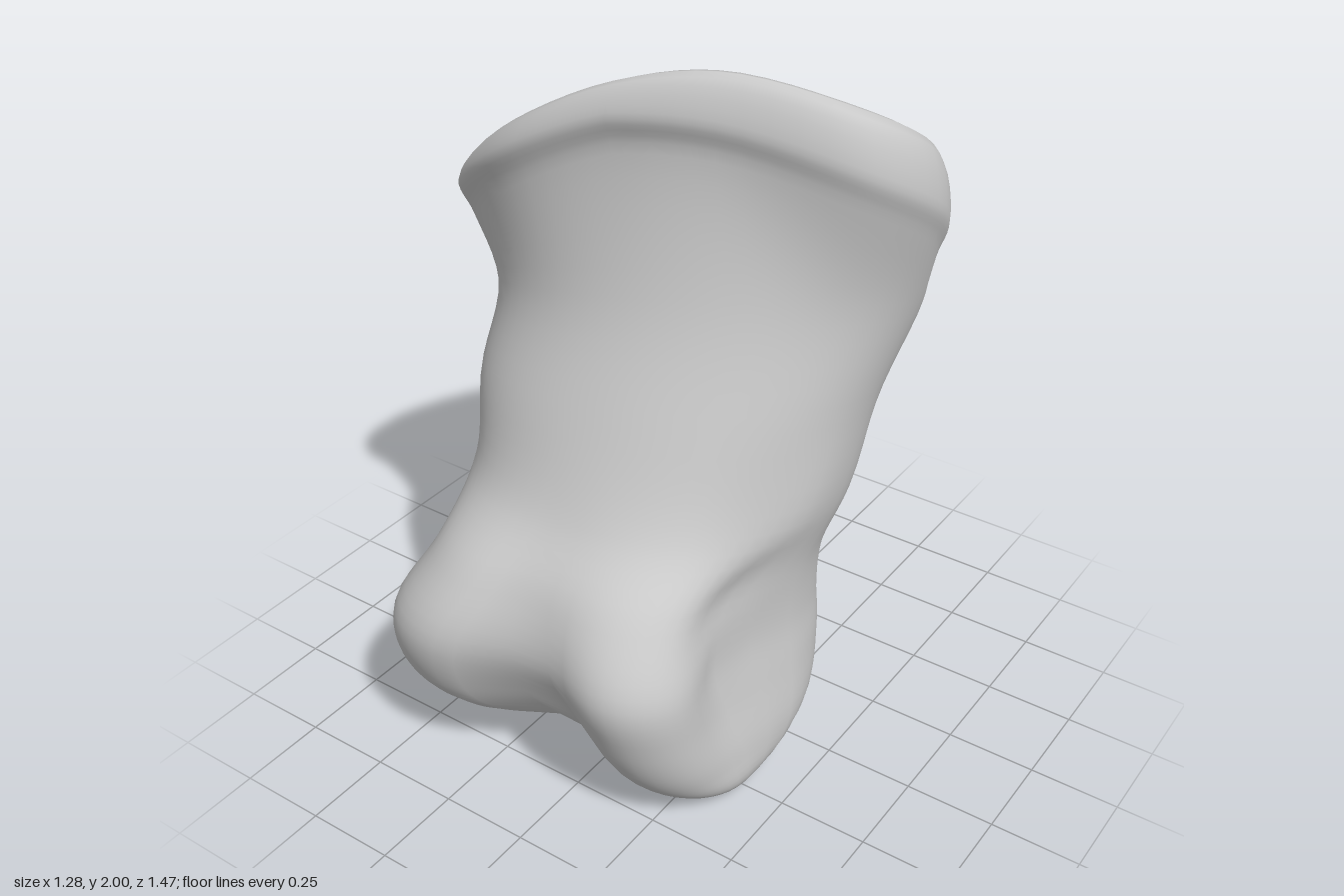
import * as THREE from 'three';
import { mergeVertices } from 'three/addons/utils/BufferGeometryUtils.js';

const COLS = 64, ROWS = 76;

// Rim of the upper joint face, every 30 degrees from +x towards +z
const rim = new THREE.CatmullRomCurve3([
  [0.64, 1.79, -0.16], [0.56, 1.93, 0.08], [0.27, 2.0, 0.23], [0, 1.95, 0.31],
  [-0.32, 1.79, 0.33], [-0.59, 1.58, 0.16], [-0.64, 1.49, -0.1], [-0.51, 1.46, -0.42],
  [-0.29, 1.46, -0.66], [0, 1.48, -0.73], [0.26, 1.5, -0.62], [0.48, 1.56, -0.42],
].map(p => new THREE.Vector3(...p)), true);

// Sections below the rim: height, min x, max x, front z, back z,
// slope in x, slope in z, skew, squareness, front groove, side hollow
const sections = [
  [1.30, -0.53, 0.56, 0.32, -0.50, 0.20, 0.35, 0.15, 2.0, 0, 0],
  [1.05, -0.53, 0.50, 0.41, -0.43, 0.10, 0.20, 0.12, 2.1, 0, 0],
  [0.82, -0.51, 0.47, 0.51, -0.37, 0, 0.10, 0.08, 2.3, 0, 0.07],
  [0.64, -0.55, 0.43, 0.66, -0.29, 0, 0.10, 0.05, 2.7, 0.05, 0.16],
  [0.48, -0.62, 0.42, 0.74, -0.24, 0, 0.05, 0.04, 3.5, 0.10, 0.16],
  [0.34, -0.63, 0.43, 0.70, -0.23, 0, 0, 0.04, 3.5, 0.14, 0.13],
  [0.20, -0.59, 0.44, 0.62, -0.18, -0.08, 0, 0.03, 3.1, 0.15, 0.07],
  [0.115, -0.50, 0.41, 0.53, -0.06, -0.13, 0, 0, 2.6, 0.11, 0],
  [0.06, -0.34, 0.33, 0.41, 0.08, -0.18, 0, 0, 2.3, 0.08, 0],
];

const bump = (t, centre, width) => Math.exp(-(((t - centre) / width) ** 2));

function rimPoint(u, scale, drop) {
  const p = rim.getPoint(u);
  return new THREE.Vector3(p.x * scale, p.y - drop, -0.2 + (p.z + 0.2) * scale);
}

function sectionPoint(u, [h, x0, x1, zf, zb, sx, sz, skew, n, groove, hollow]) {
  const c = Math.cos(u * Math.PI * 2), s = Math.sin(u * Math.PI * 2);
  const power = v => Math.sign(v) * Math.abs(v) ** (2 / n);
  let x = (x0 + x1) / 2 + (x1 - x0) / 2 * power(c);
  let z = (zf + zb) / 2 + (zf - zb) / 2 * power(s) - skew * x;
  // groove between the two knuckles, running on underneath
  const pulley = groove * bump(x, -0.02, 0.18);
  if (s > 0) z -= pulley * s;
  const y = h + sx * x + sz * z + (h < 0.15 ? 0.35 * pulley : 0);
  // hollow +x flank; the -x knuckle is set inwards towards the front
  if (x > 0) x *= 1 - hollow * Math.abs(c) * bump(z, 0.34, 0.16);
  else x *= 1 - hollow * (0.4 * Math.abs(c) * bump(z, 0.36, 0.16) + 0.8 * THREE.MathUtils.smoothstep(z, 0.05, 0.5));
  return new THREE.Vector3(x, y, z);
}

// One smooth line from the middle of the joint face, over the rim and down to the base
function column(u) {
  const inner = rimPoint(u, 0.5, 0);
  inner.y = 1.61 + (inner.y - 1.61) * 0.48;
  // the lip is broader and rounder on the +x side
  const broad = Math.max(0, Math.cos(u * Math.PI * 2));
  return new THREE.CatmullRomCurve3([
    new THREE.Vector3(0, 1.6, -0.2),
    inner,
    rimPoint(u, 0.92, 0),
    rimPoint(u, 1, 0.07 + 0.08 * broad),
    rimPoint(u, 0.95 + 0.01 * broad, 0.16 + 0.08 * broad),
    ...sections.map(s => sectionPoint(u, s)),
    new THREE.Vector3(0.06, 0.05, 0.25),
  ]);
}

export function createModel() {
  const group = new THREE.Group();
  group.name = 'toeBone';

  const positions = [], index = [];
  for (let i = 0; i < COLS; i++) {
    const path = column(i / COLS);
    for (let j = 0; j <= ROWS; j++) positions.push(...path.getPoint(j / ROWS).toArray());
  }
  const id = (i, j) => (i % COLS) * (ROWS + 1) + j;
  for (let i = 0; i < COLS; i++) {
    for (let j = 0; j < ROWS; j++) {
      const a = id(i, j), b = id(i + 1, j), c = id(i, j + 1), d = id(i + 1, j + 1);
      if (j > 0) index.push(a, b, c);
      if (j < ROWS - 1) index.push(b, d, c);
    }
  }
  let geometry = new THREE.BufferGeometry();
  geometry.setAttribute('position', new THREE.Float32BufferAttribute(positions, 3));
  geometry.setIndex(index);
  geometry = mergeVertices(geometry, 1e-5);
  geometry.computeVertexNormals();

  const bone = new THREE.Mesh(geometry, new THREE.MeshStandardMaterial({ color: 0xcccccc }));
  bone.name = 'bone';
  group.add(bone);
  return group;
}
